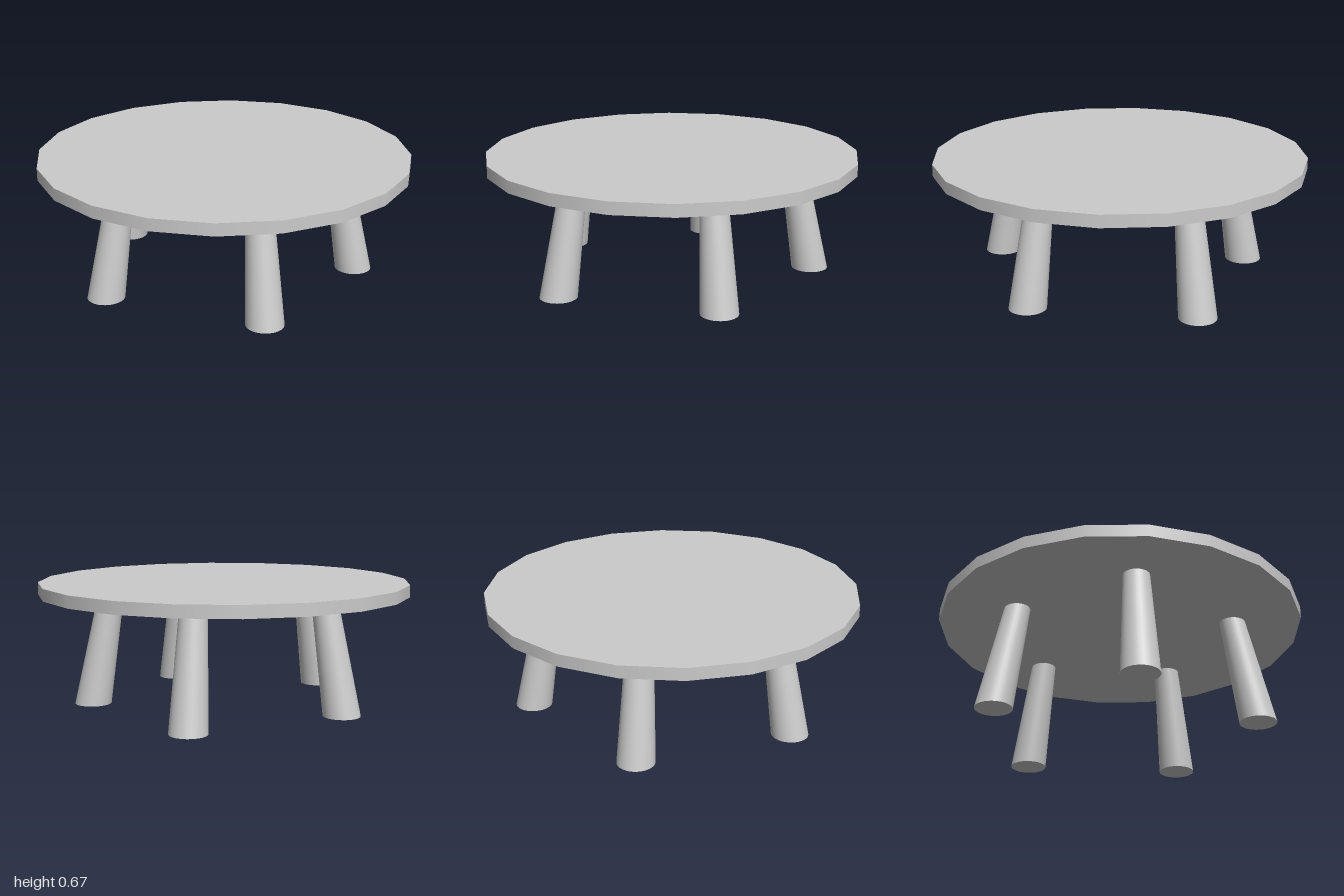
import * as THREE from 'three';

const UNDERSIDE = 0.6;
const THICKNESS = 0.065;

// Tapered round leg whose horizontal foot and head are joined by a lean.
function makeLeg(name, foot, head, material) {
  const geometry = new THREE.CylinderGeometry(0.07, 0.099, UNDERSIDE, 32);
  const [dx, dz] = [head[0] - foot[0], head[1] - foot[1]];
  geometry.translate(0, UNDERSIDE / 2, 0);
  geometry.applyMatrix4(new THREE.Matrix4().set(
    1, dx / UNDERSIDE, 0, foot[0],
    0, 1, 0, 0,
    0, dz / UNDERSIDE, 1, foot[1],
    0, 0, 0, 1));
  const leg = new THREE.Mesh(geometry, material);
  leg.name = name;
  return leg;
}

export function createModel() {
  const table = new THREE.Group();
  table.name = 'roundTable';
  const material = new THREE.MeshStandardMaterial({ color: 0xcccccc });

  // Twenty-sided top
  const top = new THREE.Mesh(new THREE.CylinderGeometry(1, 1, THICKNESS, 20), material);
  top.name = 'tabletop';
  top.position.y = UNDERSIDE + THICKNESS / 2;
  table.add(top);

  // Five splayed legs: one at the back, two mirrored pairs
  table.add(makeLeg('backLeg', [0, -0.767], [0, -0.657], material));
  for (const [side, s] of [['left', 1], ['right', -1]]) {
    table.add(makeLeg(side + 'SideLeg', [s * 0.68, -0.225], [s * 0.578, -0.195], material));
    table.add(makeLeg(side + 'FrontLeg', [s * 0.438, 0.593], [s * 0.372, 0.504], material));
  }
  return table;
}
